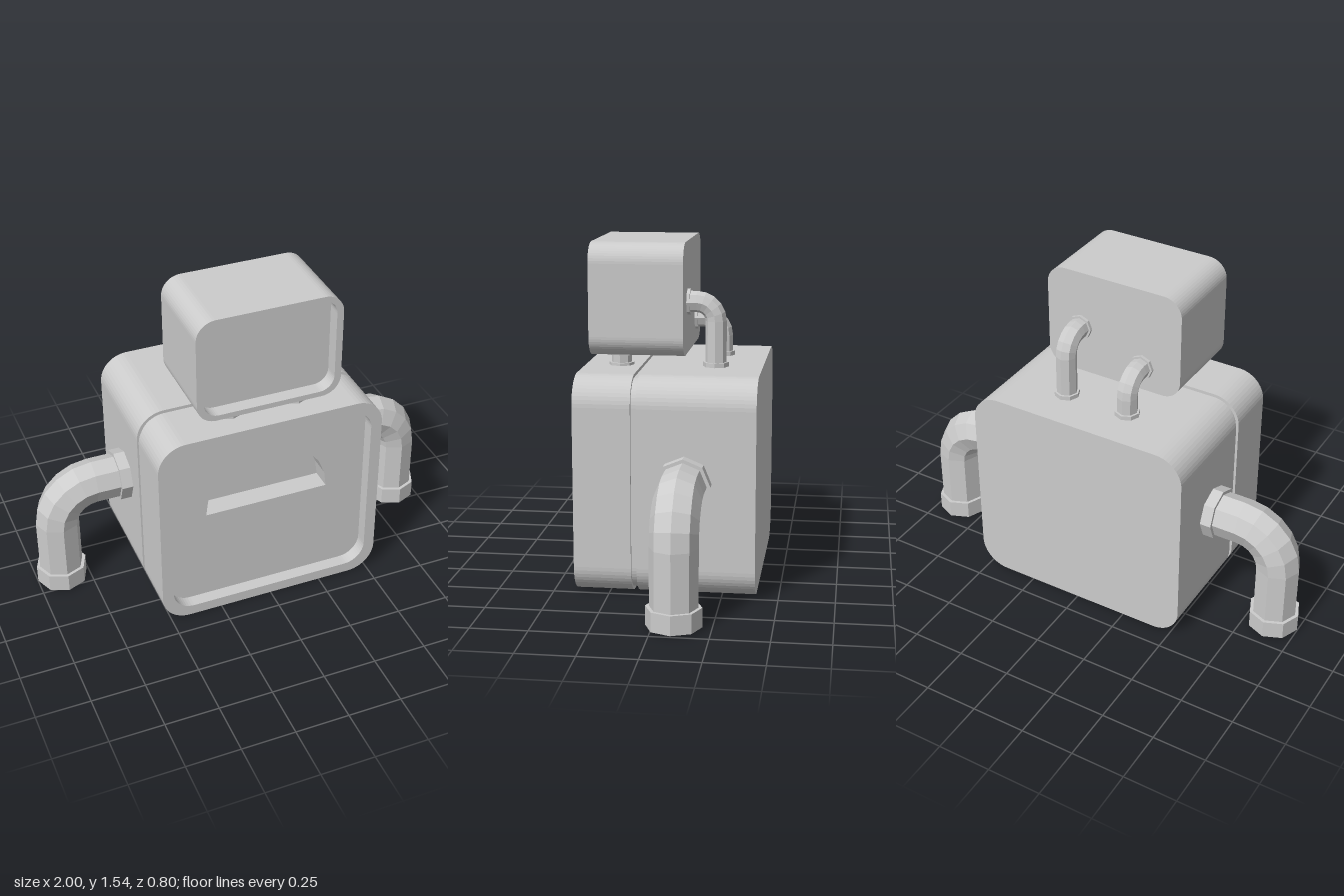
import * as THREE from 'three';

const mat = new THREE.MeshStandardMaterial({ color: 0xcccccc, flatShading: true });

function add(parent, name, geo, x = 0, y = 0, z = 0) {
  const m = new THREE.Mesh(geo, mat);
  m.name = name;
  m.position.set(x, y, z);
  parent.add(m);
  return m;
}

// Rounded rectangle outline, centred on x = 0
function rounded(C, w, y0, y1, r) {
  const s = new C(), h = w / 2, q = Math.PI / 2;
  s.moveTo(-h + r, y0);
  s.lineTo(h - r, y0);
  s.absarc(h - r, y0 + r, r, -q, 0);
  s.lineTo(h, y1 - r);
  s.absarc(h - r, y1 - r, r, 0, q);
  s.lineTo(-h + r, y1);
  s.absarc(-h + r, y1 - r, r, q, 2 * q);
  s.lineTo(-h, y0 + r);
  s.absarc(-h + r, y0 + r, r, 2 * q, 3 * q);
  return s;
}

// Extrude a shape between two z depths
function slab(shape, z0, z1, curveSegments = 6) {
  return new THREE.ExtrudeGeometry(shape, { depth: z1 - z0, bevelEnabled: false, curveSegments }).translate(0, 0, z0);
}

// Eight-sided pipe: runs along +x from x0, bends down at x1, ends at y = bottom
function elbow(r, x0, x1, bottom, R, steps = 5, sides = 8) {
  const rings = [[x0, 0, 0]], pos = [], idx = [];
  for (let i = 0; i <= steps; i++) {
    const t = (i / steps) * Math.PI / 2;
    rings.push([x1 - R + R * Math.sin(t), -R + R * Math.cos(t), t]);
  }
  rings.push([x1, bottom, Math.PI / 2]);
  rings.forEach(([x, y, t], i) => {
    for (let j = 0; j < sides; j++) {
      const a = (j / sides) * Math.PI * 2, n = r * Math.cos(a);
      pos.push(x + n * Math.sin(t), y + n * Math.cos(t), r * Math.sin(a));
      if (i === rings.length - 1) continue;
      const k = (j + 1) % sides, A = i * sides + j, B = i * sides + k;
      idx.push(A, B, B + sides, A, B + sides, A + sides);
    }
  });
  const g = new THREE.BufferGeometry();
  g.setAttribute('position', new THREE.Float32BufferAttribute(pos, 3));
  g.setIndex(idx);
  g.computeVertexNormals();
  return g;
}

const collar = (r, h) => new THREE.CylinderGeometry(r, r, h, 8);

// Bent pipe with a collar at each end
function pipe(parent, name, o) {
  const g = new THREE.Group();
  g.name = name;
  add(g, 'bentPipe', elbow(o.r, o.x0, o.x1, o.bottom, o.bend));
  add(g, 'rootCollar', collar(o.cr, o.rootH).rotateZ(Math.PI / 2), o.x0 + o.rootH / 2);
  add(g, 'endCollar', collar(o.cr, o.endH), o.x1, o.bottom + o.endH / 2);
  parent.add(g);
  return g;
}

export function createModel() {
  const model = new THREE.Group();
  model.name = 'boxRobot';

  // Body: rear block, narrow groove, front frame around a recessed panel
  const body = new THREE.Group();
  body.name = 'body';
  model.add(body);
  const outline = () => rounded(THREE.Shape, 1.075, 0, 0.977, 0.13);
  add(body, 'rearBlock', slab(outline(), -0.4, 0.12));
  add(body, 'groove', slab(rounded(THREE.Shape, 1.045, 0.015, 0.962, 0.115), 0.12, 0.145));
  const frame = outline();
  frame.holes.push(rounded(THREE.Path, 0.97, 0.05, 0.927, 0.1));
  add(body, 'frontFrame', slab(frame, 0.145, 0.4));

  // Panel with a half-round mouth opening
  const panel = rounded(THREE.Shape, 0.97, 0.05, 0.927, 0.1);
  const mouth = new THREE.Path();
  mouth.moveTo(0.297, 0.512);
  mouth.absarc(0, 0.512, 0.297, 0, Math.PI);
  mouth.closePath();
  panel.holes.push(mouth);
  add(body, 'frontPanel', slab(panel, 0.24, 0.34));
  add(body, 'mouthBack', new THREE.PlaneGeometry(0.62, 0.32), 0, 0.66, 0.241);

  // Head: block with a thin rim around the recessed face
  const head = new THREE.Group();
  head.name = 'head';
  model.add(head);
  add(head, 'headBlock', slab(rounded(THREE.Shape, 0.678, 1.035, 1.538, 0.09), -0.06, 0.295));
  const rim = rounded(THREE.Shape, 0.678, 1.035, 1.538, 0.09);
  rim.holes.push(rounded(THREE.Path, 0.615, 1.06, 1.516, 0.07));
  add(head, 'faceRim', slab(rim, 0.295, 0.36));

  // Short neck posts, and neck pipes of unequal height behind the head
  for (const [x, y] of [[-0.147, 1.155], [0.168, 1.267]]) {
    add(model, 'neckPost', collar(0.046, 0.08), x, 1.007, 0.24);
    add(model, 'neckLowerCollar', collar(0.058, 0.014), x, 0.982, 0.24);
    add(model, 'neckUpperCollar', collar(0.058, 0.014), x, 1.031, 0.24);
    const p = pipe(model, 'neckPipe', {
      r: 0.048, cr: 0.058, x0: 0.058, x1: 0.188, bottom: 0.975 - y, bend: 0.085, rootH: 0.016, endH: 0.022,
    });
    p.position.set(x, y, 0);
    p.rotation.y = Math.PI / 2;
  }

  // Arms: mirrored bent pipes ending in wide cuffs
  for (const [name, turn] of [['leftArm', 0], ['rightArm', Math.PI]]) {
    const arm = pipe(model, name, {
      r: 0.104, cr: 0.12, x0: 0.53, x1: 0.88, bottom: -0.52, bend: 0.18, rootH: 0.06, endH: 0.085,
    });
    arm.position.set(0, 0.525, -0.09);
    arm.rotation.y = turn;
  }
  return model;
}
